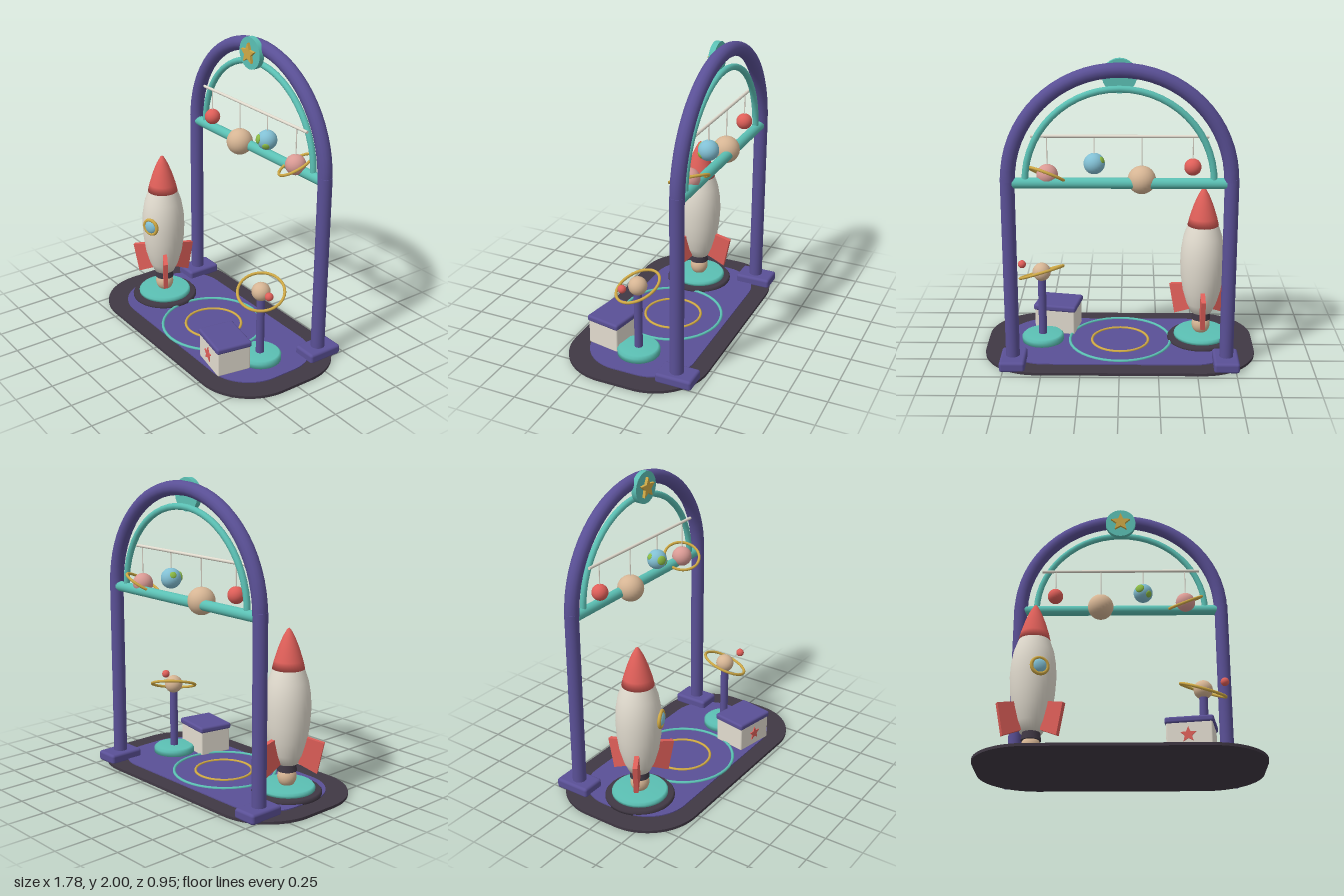
import * as THREE from 'three';
import { RoundedBoxGeometry } from 'three/addons/geometries/RoundedBoxGeometry.js';

const mat = (name, color) => {
  const m = new THREE.MeshStandardMaterial({ color });
  m.name = name;
  return m;
};

// Rounded rectangle slab lying flat, from y = 0 up to h
function slab(w, d, r, h) {
  const s = new THREE.Shape(), x = w / 2 - r, y = d / 2 - r;
  s.absarc(x, y, r, 0, Math.PI / 2);
  s.absarc(-x, y, r, Math.PI / 2, Math.PI);
  s.absarc(-x, -y, r, Math.PI, Math.PI * 1.5);
  s.absarc(x, -y, r, Math.PI * 1.5, Math.PI * 2);
  return new THREE.ExtrudeGeometry(s, { depth: h, bevelEnabled: false, curveSegments: 12 }).rotateX(-Math.PI / 2);
}

// Five-pointed star facing +z
function star(r, depth) {
  const pts = [];
  for (let i = 0; i < 10; i++) {
    const a = Math.PI / 2 + i * Math.PI / 5, q = i % 2 ? r * 0.45 : r;
    pts.push(new THREE.Vector2(Math.cos(a) * q, Math.sin(a) * q));
  }
  return new THREE.ExtrudeGeometry(new THREE.Shape(pts), { depth, bevelEnabled: false });
}

const lathe = (pts, seg = 32) => new THREE.LatheGeometry(pts.map(p => new THREE.Vector2(p[0], p[1])), seg);
const cyl = (rt, rb, h, seg = 24) => new THREE.CylinderGeometry(rt, rb, h, seg);
const ball = r => new THREE.SphereGeometry(r, 24, 16);
const flatRing = (r, t) => new THREE.TorusGeometry(r, t, 8, 40).rotateX(Math.PI / 2);

export function createModel() {
  const dark = mat('charcoal', 0x403844), purple = mat('purple', 0x5a5096), teal = mat('teal', 0x5bc0b4),
    gold = mat('gold', 0xcfa945), cream = mat('cream', 0xe2dccf), red = mat('red', 0xdf5f59),
    tan = mat('tan', 0xd6b594), blue = mat('sky blue', 0x82c0d4), pink = mat('pink', 0xd99a94),
    green = mat('green', 0x8cbc46);
  const root = new THREE.Group();
  root.name = 'spacePlayGym';
  const group = (name, x, y, z) => {
    const g = new THREE.Group();
    g.name = name;
    g.position.set(x, y, z);
    root.add(g);
    return g;
  };
  const add = (parent, name, geo, m, x = 0, y = 0, z = 0) => {
    const mesh = new THREE.Mesh(geo, m);
    mesh.name = name;
    mesh.position.set(x, y, z);
    parent.add(mesh);
    return mesh;
  };

  // Floor mat and its rings
  add(root, 'baseMat', slab(1.785, 0.95, 0.36, 0.018), dark);
  add(root, 'innerMat', slab(1.52, 0.72, 0.28, 0.008), purple, 0, 0.017, 0);
  add(root, 'outerFloorRing', flatRing(0.34, 0.01), teal, 0, 0.027, 0.02);
  add(root, 'innerFloorRing', flatRing(0.19, 0.009), gold, 0, 0.027, 0.012);

  // Arch frame
  const Z = -0.332;
  for (const s of [-1, 1]) {
    add(root, 'foot', new RoundedBoxGeometry(0.165, 0.068, 0.245, 3, 0.018), purple, s * 0.688, 0.042, -0.337);
    add(root, 'post', cyl(0.045, 0.045, 1.22), purple, s * 0.69, 0.66, Z);
  }
  add(root, 'arch', new THREE.TorusGeometry(0.687, 0.046, 14, 32, Math.PI), purple, 0, 1.25, Z);
  add(root, 'innerArch', new THREE.TorusGeometry(0.58, 0.021, 10, 28, Math.PI), teal, 0, 1.243, Z);
  add(root, 'crossbar', cyl(0.034, 0.034, 1.32).rotateZ(Math.PI / 2), teal, 0, 1.237, Z);

  // Badge on the crown of the arch
  add(root, 'badgeDisc', cyl(0.105, 0.105, 0.036, 32).rotateX(Math.PI / 2), teal, 0, 1.895, -0.284);
  add(root, 'badgeStar', star(0.07, 0.02), gold, 0, 1.895, -0.266);

  // Hanging planets
  const PZ = -0.3;
  add(root, 'mobileRod', cyl(0.01, 0.01, 1.09, 10).rotateZ(Math.PI / 2), cream, 0, 1.525, PZ);
  const planets = [
    ['redPlanet', -0.45, 1.333, 0.053, red], ['tanPlanet', -0.137, 1.25, 0.088, tan],
    ['bluePlanet', 0.155, 1.353, 0.066, blue], ['ringedPlanet', 0.445, 1.28, 0.067, pink]];
  for (const [name, x, y, r, m] of planets) {
    const g = group(name, x, y, PZ), len = 1.525 - y;
    add(g, 'sphere', ball(r), m);
    add(g, 'string', cyl(0.004, 0.004, len, 6), cream, 0, len / 2, 0);
    if (name === 'bluePlanet')
      for (const [dx, dy, dz, q] of [[-0.38, 0.18, 0.9, 0.031], [0.62, -0.42, 0.66, 0.024], [-0.75, 0.45, -0.35, 0.022]]) {
        const d = new THREE.Vector3(dx, dy, dz).normalize();
        const patch = add(g, 'landPatch', ball(q), green, d.x * 0.06, d.y * 0.06, d.z * 0.06);
        patch.quaternion.setFromUnitVectors(new THREE.Vector3(0, 0, 1), d);
        patch.scale.z = 0.45;
      }
    if (name === 'ringedPlanet') add(g, 'planetRing', flatRing(0.12, 0.0095), gold).rotation.set(0.4, 0, 0.36);
  }

  // Rocket on its launch pad
  const rocket = group('rocket', -0.547, 0, 0.055);
  add(rocket, 'padBase', lathe([[0, 0.015], [0.226, 0.015], [0.226, 0.035], [0.215, 0.048], [0, 0.048]]), dark);
  add(rocket, 'padTop', lathe([[0, 0.045], [0.182, 0.045], [0.182, 0.064], [0.17, 0.078], [0, 0.078]]), teal);
  add(rocket, 'exhaust', ball(0.062), tan, 0, 0.13, 0).scale.y = 1.1;
  add(rocket, 'nozzle', cyl(0.055, 0.064, 0.06), dark, 0, 0.2, 0);
  add(rocket, 'body', lathe([[0, 0.22], [0.07, 0.22], [0.1, 0.285], [0.127, 0.38], [0.141, 0.48], [0.147, 0.58],
    [0.143, 0.67], [0.128, 0.76], [0.1, 0.842]]), cream);
  add(rocket, 'nose', lathe([[0, 0.838], [0.103, 0.838], [0.091, 0.89], [0.066, 0.97], [0.038, 1.04], [0.012, 1.087], [0, 1.096]]), red);
  const finShape = new THREE.Shape([[0.075, 0.225], [0.196, 0.17], [0.238, 0.375], [0.11, 0.405]].map(p => new THREE.Vector2(...p)));
  const finGeo = new THREE.ExtrudeGeometry(finShape, { depth: 0.03, bevelEnabled: false }).translate(0, 0, -0.015);
  for (let i = 0; i < 3; i++) add(rocket, 'fin', finGeo, red).rotation.y = Math.PI / 2 + i * Math.PI * 2 / 3;
  const porthole = new THREE.Group();
  porthole.name = 'porthole';
  porthole.position.set(0.052, 0.612, 0.137);
  porthole.rotation.y = 0.36;
  rocket.add(porthole);
  add(porthole, 'portholeFrame', new THREE.TorusGeometry(0.052, 0.012, 10, 28), gold);
  add(porthole, 'portholeGlass', ball(0.046), blue).scale.z = 0.5;

  // Orbit stand
  const stand = group('orbitStand', 0.523, 0, 0.015);
  add(stand, 'standBase', lathe([[0, 0.02], [0.14, 0.02], [0.14, 0.058], [0.125, 0.072], [0, 0.072]]), teal);
  add(stand, 'standPost', cyl(0.027, 0.027, 0.42), purple, 0, 0.27, 0);
  add(stand, 'standPlanet', ball(0.061), tan, 0, 0.515, 0);
  add(stand, 'orbitRing', flatRing(0.15, 0.0095), gold, 0, 0.513, 0).rotation.set(0.31, 0, -0.29);
  add(stand, 'moon', ball(0.027), red, 0.135, 0.552, 0.042);

  // Storage chest
  const chest = group('chest', 0.43, 0, 0.228);
  chest.rotation.y = -0.18;
  add(chest, 'chestBody', new RoundedBoxGeometry(0.277, 0.175, 0.23, 2, 0.01), cream, 0, 0.107, 0);
  add(chest, 'chestLid', new RoundedBoxGeometry(0.295, 0.042, 0.245, 3, 0.015), purple, 0, 0.205, 0);
  add(chest, 'chestStar', star(0.05, 0.008), red, -0.005, 0.11, 0.114);

  return root;
}
